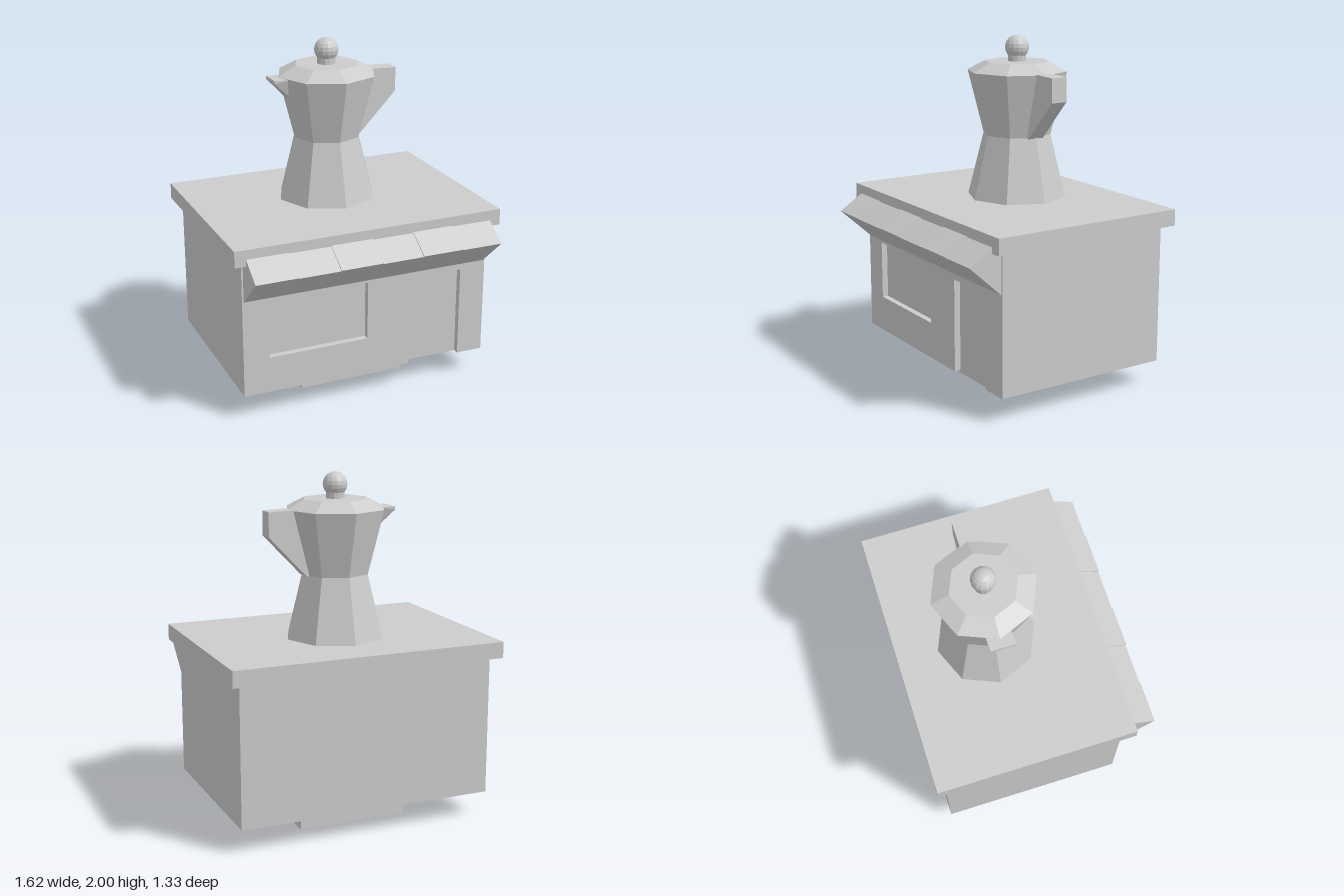
import * as THREE from 'three';
import { ConvexGeometry } from 'three/addons/geometries/ConvexGeometry.js';

export function createModel() {
  const model = new THREE.Group();
  model.name = 'coffeeKiosk';
  const grey = new THREE.MeshStandardMaterial({ color: 0xcccccc, flatShading: true });
  grey.name = 'plainGrey';

  const add = (name, geometry, parent = model) => {
    const mesh = new THREE.Mesh(geometry, grey);
    mesh.name = name;
    parent.add(mesh);
    return mesh;
  };
  // box given by its lower and upper limits
  const box = (name, x0, x1, y0, y1, z0, z1) => {
    const g = new THREE.BoxGeometry(x1 - x0, y1 - y0, z1 - z0);
    g.translate((x0 + x1) / 2, (y0 + y1) / 2, (z0 + z1) / 2);
    return add(name, g);
  };
  const shapeOf = (pts) => new THREE.Shape(pts.map(([x, y]) => new THREE.Vector2(x, y)));
  const extrude = (shape, depth) =>
    new THREE.ExtrudeGeometry(shape, { depth, bevelEnabled: false });

  // foot, building and roof slab
  box('foot', -0.325, 0.325, 0, 0.145, -0.395, 0.255);
  box('building', -0.755, 0.755, 0.145, 0.97, -0.61, 0.43);
  box('roof', -0.81, 0.81, 0.96, 1.055, -0.665, 0.525);

  // front wall with a door notch and a window opening
  const wall = shapeOf([
    [-0.755, 0.145], [0.265, 0.145], [0.265, 0.69], [0.595, 0.69],
    [0.595, 0.145], [0.755, 0.145], [0.755, 0.97], [-0.755, 0.97],
  ]);
  wall.holes.push(shapeOf([[-0.6, 0.36], [-0.6, 0.71], [0, 0.71], [0, 0.36]]));
  add('frontWall', extrude(wall, 0.037).translate(0, 0, 0.43));

  // awning of six strips, every other one slightly raised
  const awning = new THREE.Group();
  awning.name = 'awning';
  model.add(awning);
  const edges = [-0.745, -0.5, -0.25, 0, 0.25, 0.5, 0.745];
  for (let i = 0; i < 6; i++) {
    const lift = i % 2 ? 0 : 0.005;
    const profile = shapeOf([
      [0.45, 0.71], [0.467, 0.725], [0.663 + lift, 0.902 + lift],
      [0.525, 0.995 + lift], [0.45, 1.04 + lift],
    ]);
    const g = extrude(profile, edges[i + 1] - edges[i]);
    g.rotateY(-Math.PI / 2).translate(edges[i + 1], 0, 0);
    add('awningStrip', g, awning);
  }

  // eight-sided moka pot
  const pot = new THREE.Group();
  pot.name = 'mokaPot';
  pot.position.z = -0.13;
  model.add(pot);
  const ring = (name, top, bottom, y0, y1, sides = 8) =>
    add(name, new THREE.CylinderGeometry(top, bottom, y1 - y0, sides)
      .translate(0, (y0 + y1) / 2, 0), pot);
  ring('potBase', 0.2, 0.295, 1.05, 1.425);
  ring('potTop', 0.295, 0.2, 1.425, 1.795);
  ring('lid', 0.19, 0.295, 1.795, 1.85);
  ring('knobNeck', 0.053, 0.053, 1.845, 1.9, 12);
  add('knob', new THREE.SphereGeometry(0.07, 14, 10).translate(0, 1.93, 0), pot);

  // solid angular handle
  const handle = shapeOf([
    [0.17, 1.42], [0.195, 1.42], [0.42, 1.655], [0.42, 1.795], [0.25, 1.8],
  ]);
  add('handle', extrude(handle, 0.1).translate(0, 0, -0.05), pot);

  // spout tapering down to the side of the pot
  const spout = [new THREE.Vector3(-0.225, 1.64, 0)];
  for (const z of [-0.07, 0.07]) {
    spout.push(
      new THREE.Vector3(-0.345, 1.792, z),
      new THREE.Vector3(-0.345, 1.775, z),
      new THREE.Vector3(-0.22, 1.792, z),
      new THREE.Vector3(-0.22, 1.66, z * 0.4),
    );
  }
  add('spout', new ConvexGeometry(spout), pot);

  return model;
}
